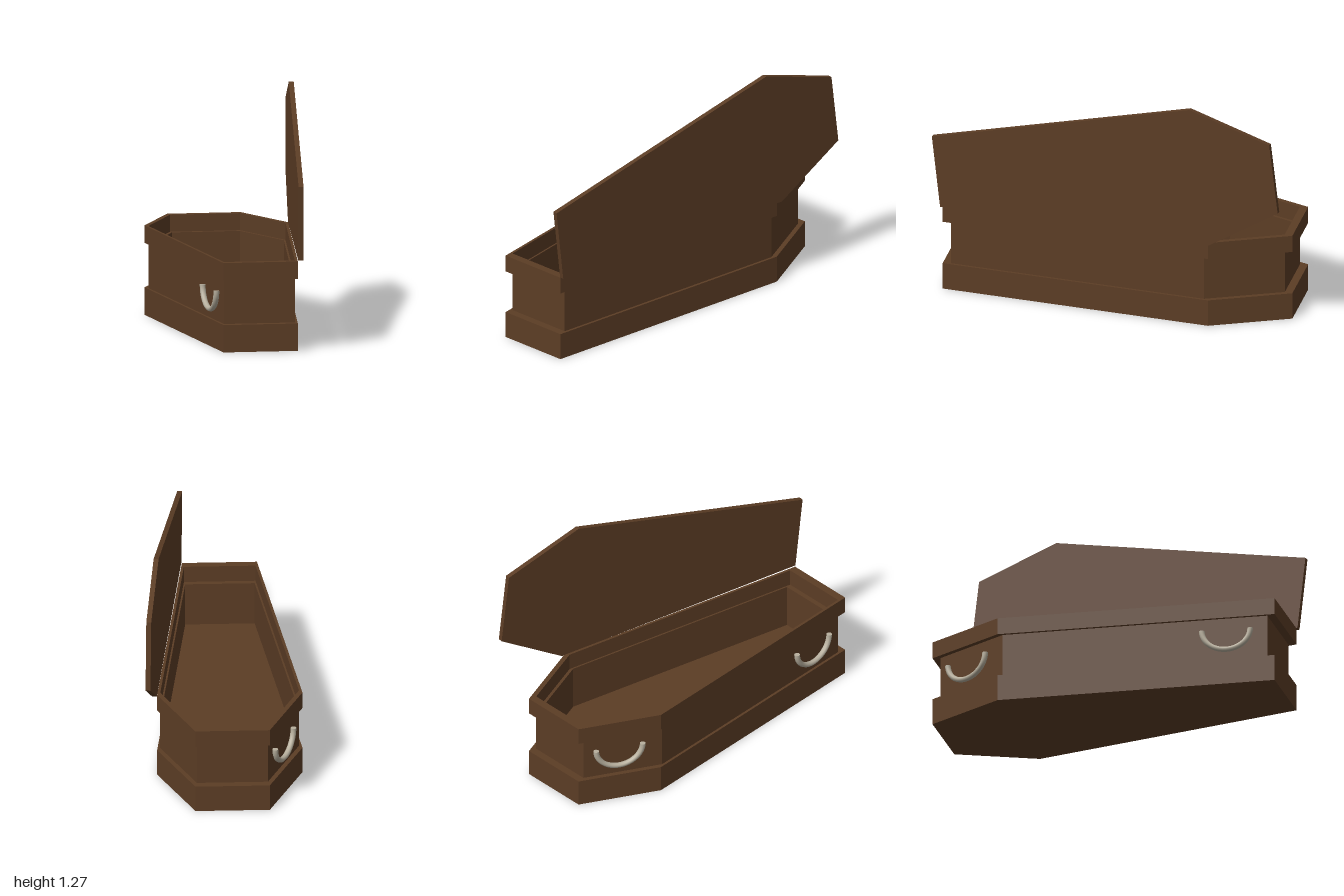
import * as THREE from 'three';

const wood = new THREE.MeshStandardMaterial({ color: 0x5c3d25 });
const metal = new THREE.MeshStandardMaterial({ color: 0xb8b09e });

// Six-sided plan outline as [x, z]
const OUTLINE = [[-0.243, 0.945], [0.165, 0.945], [0.355, -0.57], [0.162, -0.998], [-0.242, -0.998], [-0.435, -0.57]];
const CX = -0.04, CZ = -0.027;

// Outline shrunk about its centre, in shape space (y = -z)
const plan = (k) => OUTLINE.map(([x, z]) => new THREE.Vector2(CX + (x - CX) * k, -(CZ + (z - CZ) * k)));

// Upright slab or ring between two heights
function layer(name, y0, y1, outer, inner) {
  const shape = new THREE.Shape(plan(outer));
  if (inner) shape.holes.push(new THREE.Path(plan(inner)));
  const geo = new THREE.ExtrudeGeometry(shape, { depth: y1 - y0, bevelEnabled: false });
  geo.rotateX(-Math.PI / 2);
  const mesh = new THREE.Mesh(geo, wood);
  mesh.name = name;
  mesh.position.y = y0;
  return mesh;
}

// Hanging half-ring handle with closed ends, facing along the wall normal
function handle(name, x, z, nx, nz) {
  const R = 0.133, r = 0.016;
  const group = new THREE.Group();
  group.name = name;
  const ring = new THREE.Mesh(new THREE.TorusGeometry(R, r, 10, 24, Math.PI), metal);
  ring.name = 'handleRing';
  ring.rotation.z = Math.PI;
  group.add(ring);
  for (const s of [-1, 1]) {
    const cap = new THREE.Mesh(new THREE.CircleGeometry(r, 10), metal);
    cap.name = 'handleEnd';
    cap.rotation.x = -Math.PI / 2;
    cap.position.x = s * R;
    group.add(cap);
  }
  group.scale.y = 0.87;
  group.position.set(x, 0.32, z);
  group.rotation.y = Math.atan2(nx, nz);
  return group;
}

export function createModel() {
  const model = new THREE.Group();
  model.name = 'coffin';

  // Solid base, hollow walls and overhanging rim
  model.add(
    layer('base', 0, 0.15, 1),
    layer('walls', 0.15, 0.397, 0.955, 0.925),
    layer('rim', 0.395, 0.49, 1, 0.954)
  );

  // Open lid standing on the long left edge, drawn as [z, y]
  const slope = Math.atan(0.124);
  const lidShape = new THREE.Shape(
    [[1.0, 0.905], [-0.47, 1.275], [-0.927, 1.13], [-0.975, 0.735], [-0.58, 0.488], [0.953, 0.495]]
      .map(([z, y]) => new THREE.Vector2(z / Math.cos(slope), y))
  );
  const lid = new THREE.Mesh(new THREE.ExtrudeGeometry(lidShape, { depth: 0.027, bevelEnabled: false }), wood);
  lid.name = 'lid';
  lid.rotation.y = -(Math.PI / 2 + slope);
  lid.position.x = 0.312;
  model.add(lid);

  // Handles on the right side
  model.add(
    handle('footHandle', -0.278, 0.68, -1.515, 0.19),
    handle('headHandle', -0.329, -0.778, -0.43, -0.19)
  );
  return model;
}
